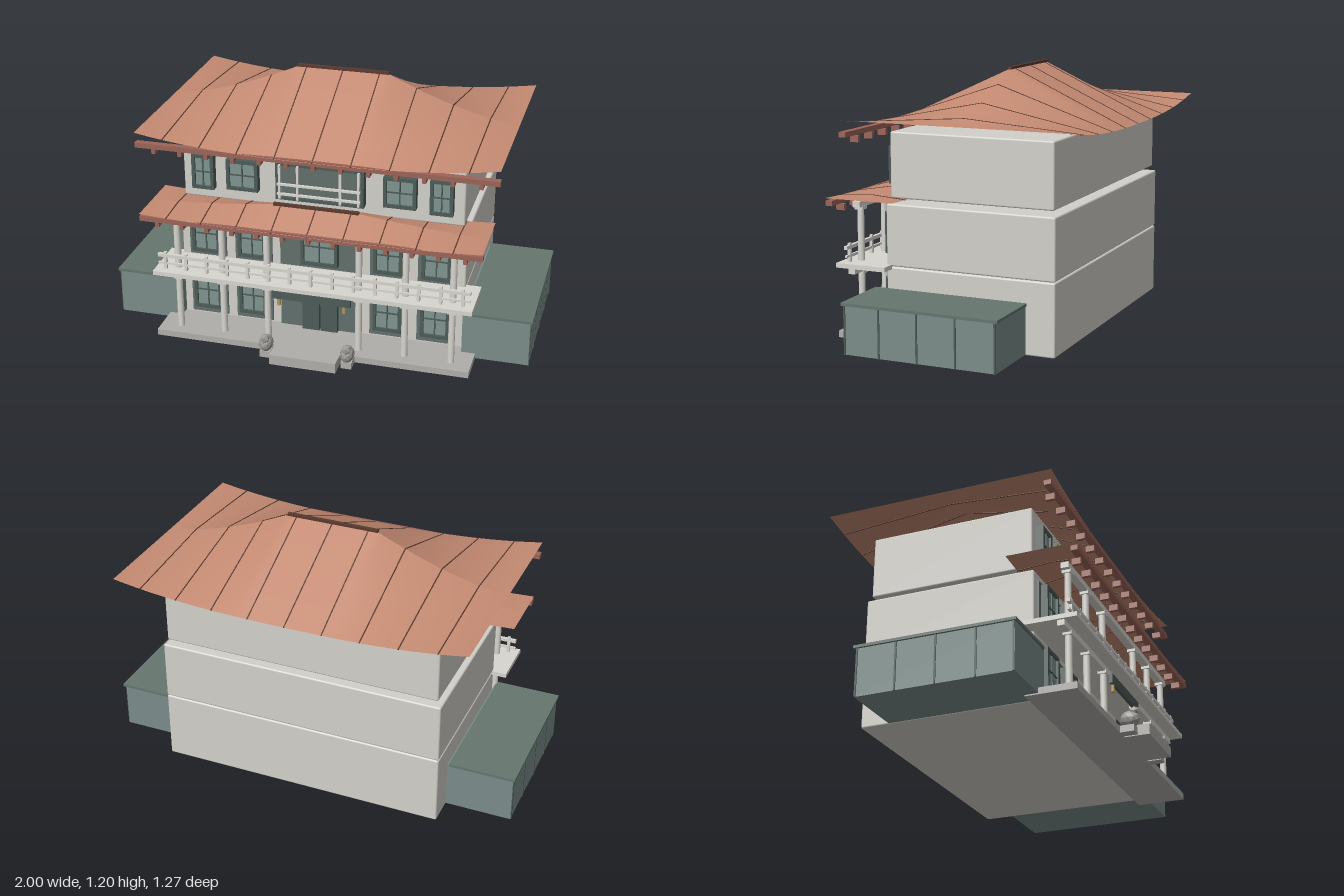
import * as THREE from 'three';
import { RoundedBoxGeometry } from 'three/addons/geometries/RoundedBoxGeometry.js';

const mat = (color, extra = {}) => new THREE.MeshStandardMaterial({ color, ...extra });
const M = {
  wall: mat(0xd2d0ca), trim: mat(0xd8d6cf), stone: mat(0xb0aeaa),
  tile: mat(0xc48a72, { side: THREE.DoubleSide }), rib: mat(0x5a3a2e), wood: mat(0x9c6458),
  frame: mat(0x4d5b58), panel: mat(0x62706c), glass: mat(0x7f9490),
  wing: mat(0x7a8c89), wingRoof: mat(0x66756f), gold: mat(0xb89a5a),
  statue: mat(0x9a9894, { flatShading: true }),
};

function add(parent, name, geometry, material, x = 0, y = 0, z = 0) {
  const mesh = new THREE.Mesh(geometry, material);
  mesh.name = name;
  mesh.position.set(x, y, z);
  parent.add(mesh);
  return mesh;
}

// Box given by its limits on each axis
function box(parent, name, material, [x0, x1], [y0, y1], [z0, z1], radius = 0) {
  const s = [x1 - x0, y1 - y0, z1 - z0];
  const g = radius ? new RoundedBoxGeometry(...s, 2, radius) : new THREE.BoxGeometry(...s);
  return add(parent, name, g, material, (x0 + x1) / 2, (y0 + y1) / 2, (z0 + z1) / 2);
}

function group(parent, name) {
  const g = new THREE.Group();
  g.name = name;
  parent.add(g);
  return g;
}

// Swept gable roof: straight slopes between a sagging ridge and an upturned eave
function sweptRoof(parent, name, { halfW, halfD, z, top, end, eave, flat, ribs }) {
  const roof = group(parent, name);
  const ridgeY = x => {
    const t = Math.max(0, (Math.abs(x) - flat) / (halfW - flat));
    return end + (top - end) * Math.pow(Math.max(0, 1 - t), 1.5);
  };
  const eaveY = x => eave + (end - eave) * Math.pow(Math.abs(x) / halfW, 2.6);
  for (const side of [1, -1]) {
    const g = new THREE.PlaneGeometry(2, 1, 48, 4);
    const p = g.attributes.position;
    for (let i = 0; i < p.count; i++) {
      const x = p.getX(i) * halfW * side, down = 0.5 - p.getY(i);
      p.setXYZ(i, x, THREE.MathUtils.lerp(ridgeY(x), eaveY(x), down), z + side * halfD * down);
    }
    g.computeVertexNormals();
    add(roof, side > 0 ? 'frontSlope' : 'backSlope', g, M.tile);
    // Thin seams running down the slope
    for (const x of ribs) {
      const drop = ridgeY(x) - eaveY(x);
      const seam = add(roof, 'seam', new THREE.BoxGeometry(0.005, 0.004, Math.hypot(drop, halfD)), M.rib,
        x, (ridgeY(x) + eaveY(x)) / 2, z + side * halfD / 2);
      seam.rotation.x = side * Math.atan2(drop, halfD);
    }
  }
  box(roof, 'ridgeCap', M.rib, [-flat - 0.01, flat + 0.01], [top - 0.005, top + 0.008], [z - 0.009, z + 0.009]);
  // Front fascia with rafter ends beneath
  const zf = z + halfD;
  box(roof, 'fascia', M.wood, [-halfW, halfW], [eave - 0.016, eave + 0.007], [zf - 0.035, zf - 0.002]);
  for (let i = -6; i <= 6; i++) {
    const x = i * halfW * 0.15;
    box(roof, 'rafterEnd', M.wood, [x - 0.009, x + 0.009], [eave - 0.045, eave - 0.016], [zf - 0.056, zf - 0.015]);
  }
}

// Framed window with a cross of glazing bars
function windowUnit(parent, x, [y0, y1], w, z, depth = 0.035) {
  const g = group(parent, 'window');
  const h = w / 2, t = 0.008, ym = (y0 + y1) / 2;
  box(g, 'glass', M.glass, [x - h, x + h], [y0, y1], [z - 0.005, z + depth * 0.7]);
  for (const s of [-1, 1]) {
    const xs = x + s * h, ys = s < 0 ? y0 : y1;
    box(g, 'jamb', M.frame, [xs - t, xs + t], [y0 - t, y1 + t], [z - 0.005, z + depth]);
    box(g, 'rail', M.frame, [x - h, x + h], [ys - t, ys + t], [z - 0.005, z + depth]);
  }
  box(g, 'mullion', M.frame, [x - 0.003, x + 0.003], [y0, y1], [z, z + depth * 0.85]);
  box(g, 'crossbar', M.frame, [x - h, x + h], [ym - 0.003, ym + 0.003], [z, z + depth * 0.85]);
}

export function createModel() {
  const model = new THREE.Group();
  model.name = 'house';

  // Storeys
  const storeys = group(model, 'storeys');
  box(storeys, 'groundStorey', M.wall, [-0.68, 0.68], [0.002, 0.333], [-0.5, 0.305], 0.008);
  box(storeys, 'middleStorey', M.wall, [-0.68, 0.68], [0.335, 0.617], [-0.5, 0.305], 0.008);
  box(storeys, 'topStorey', M.wall, [-0.663, 0.663], [0.64, 0.937], [-0.487, 0.29], 0.008);

  // Roofs
  sweptRoof(model, 'mainRoof', {
    halfW: 0.835, halfD: 0.54, z: -0.09, top: 1.19, end: 0.997, eave: 0.94, flat: 0.21,
    ribs: [-0.7, -0.525, -0.35, -0.175, 0, 0.175, 0.35, 0.525, 0.7],
  });
  sweptRoof(model, 'porchRoof', {
    halfW: 0.79, halfD: 0.165, z: 0.385, top: 0.69, end: 0.642, eave: 0.624, flat: 0.19,
    ribs: [-0.66, -0.495, -0.33, -0.165, 0, 0.165, 0.33, 0.495, 0.66],
  });

  // Porch floor, step, balcony slab and beams
  const porch = group(model, 'porch');
  box(porch, 'porchFloor', M.stone, [-0.745, 0.745], [0, 0.03], [0.29, 0.52]);
  box(porch, 'frontStep', M.stone, [-0.157, 0.157], [0, 0.049], [0.515, 0.636]);
  box(porch, 'balconySlab', M.trim, [-0.75, 0.75], [0.322, 0.343], [0.28, 0.525]);
  box(porch, 'lowerBeam', M.trim, [-0.74, 0.74], [0.296, 0.322], [0.434, 0.466]);
  box(porch, 'upperBeam', M.trim, [-0.69, 0.69], [0.59, 0.617], [0.432, 0.468]);
  for (const x of [-0.65, -0.433, -0.217, 0.217, 0.433, 0.65])
    for (const [y0, y1] of [[0.03, 0.3], [0.343, 0.592]]) {
      add(porch, 'column', new THREE.CylinderGeometry(0.015, 0.016, y1 - y0, 16), M.trim, x, (y0 + y1) / 2, 0.45);
      box(porch, 'columnCap', M.trim, [x - 0.02, x + 0.02], [y1 - 0.015, y1 + 0.002], [0.43, 0.47]);
    }

  // Balcony railing
  const railing = group(model, 'balconyRailing');
  box(railing, 'handrail', M.trim, [-0.735, 0.735], [0.403, 0.419], [0.474, 0.49]);
  box(railing, 'lowerRail', M.trim, [-0.735, 0.735], [0.366, 0.376], [0.477, 0.487]);
  for (let i = -7; i <= 7; i++)
    box(railing, 'railPost', M.trim, [i * 0.1 - 0.007, i * 0.1 + 0.007], [0.343, 0.428], [0.475, 0.489]);

  // Ground and middle openings, with dark panels behind the glass
  const openings = group(model, 'openings');
  for (const [y0, y1, g0, g1] of [[0.04, 0.29, 0.085, 0.262], [0.35, 0.58, 0.385, 0.56]])
    for (const x of [-0.55, -0.325, 0.325, 0.55]) {
      box(openings, 'panel', M.panel, [x - 0.09, x + 0.09], [y0, y1], [0.3, 0.313]);
      windowUnit(openings, x, [g0, g1], 0.12, 0.31);
    }
  box(openings, 'entryPanel', M.panel, [-0.195, 0.195], [0.03, 0.29], [0.3, 0.313]);
  box(openings, 'balconyPanel', M.panel, [-0.195, 0.195], [0.35, 0.58], [0.3, 0.313]);
  for (const s of [-1, 1])
    box(openings, 'doorLeaf', M.frame, [s * 0.044 - 0.041, s * 0.044 + 0.041], [0.03, 0.25], [0.31, 0.335]);
  windowUnit(openings, 0, [0.385, 0.56], 0.16, 0.31);

  // Top storey openings
  for (const s of [-1, 1]) {
    windowUnit(openings, s * 0.56, [0.703, 0.857], 0.09, 0.29);
    windowUnit(openings, s * 0.37, [0.715, 0.848], 0.135, 0.29);
  }
  const loggia = group(model, 'loggia');
  box(loggia, 'loggiaPanel', M.panel, [-0.2, 0.2], [0.695, 0.865], [0.285, 0.31]);
  for (const s of [-1, 1])
    box(loggia, 'loggiaJamb', M.frame, [s * 0.2 - 0.007, s * 0.2 + 0.007], [0.69, 0.87], [0.285, 0.33]);
  box(loggia, 'loggiaHead', M.frame, [-0.2, 0.2], [0.858, 0.87], [0.285, 0.33]);
  box(loggia, 'loggiaSill', M.frame, [-0.2, 0.2], [0.69, 0.702], [0.285, 0.33]);
  for (const y of [0.725, 0.773])
    box(loggia, 'loggiaRail', M.trim, [-0.195, 0.195], [y - 0.005, y + 0.005], [0.338, 0.35]);
  for (const x of [-0.185, -0.1, 0.1, 0.185])
    box(loggia, 'loggiaPost', M.trim, [x - 0.005, x + 0.005], [0.7, 0.865], [0.328, 0.345]);

  // Blank signboard with a hanging lantern at each end
  const sign = group(model, 'signboard');
  box(sign, 'board', M.frame, [-0.185, 0.185], [0.257, 0.302], [0.466, 0.482]);
  for (const s of [-1, 1])
    add(sign, 'lantern', new THREE.CylinderGeometry(0.009, 0.009, 0.035, 10), M.gold, s * 0.155, 0.24, 0.472);

  // Paired entrance statues
  for (const s of [-1, 1]) {
    const statue = group(model, 'entranceStatue');
    add(statue, 'body', new THREE.IcosahedronGeometry(0.042, 1), M.statue, s * 0.193, 0.065, 0.56).scale.set(0.8, 0.95, 1.08);
    add(statue, 'head', new THREE.IcosahedronGeometry(0.025, 0), M.statue, s * 0.193, 0.098, 0.582);
    box(statue, 'plinth', M.stone, [s * 0.193 - 0.025, s * 0.193 + 0.025], [0, 0.032], [0.515, 0.585]);
  }

  // Side wings with vertical battens
  for (const s of [-1, 1]) {
    const wing = group(model, s > 0 ? 'leftWing' : 'rightWing');
    const span = (a, b) => (s > 0 ? [a, b] : [-b, -a]);
    box(wing, 'wingBody', M.wing, span(0.68, 0.99), [0.006, 0.227], [-0.365, 0.35]);
    box(wing, 'wingRoof', M.wingRoof, span(0.69, 1), [0.224, 0.237], [-0.375, 0.358]);
    for (const z of [-0.36, -0.18, 0, 0.18, 0.345])
      box(wing, 'batten', M.frame, span(0.985, 0.994), [0.006, 0.225], [z - 0.004, z + 0.004]);
  }
  return model;
}
